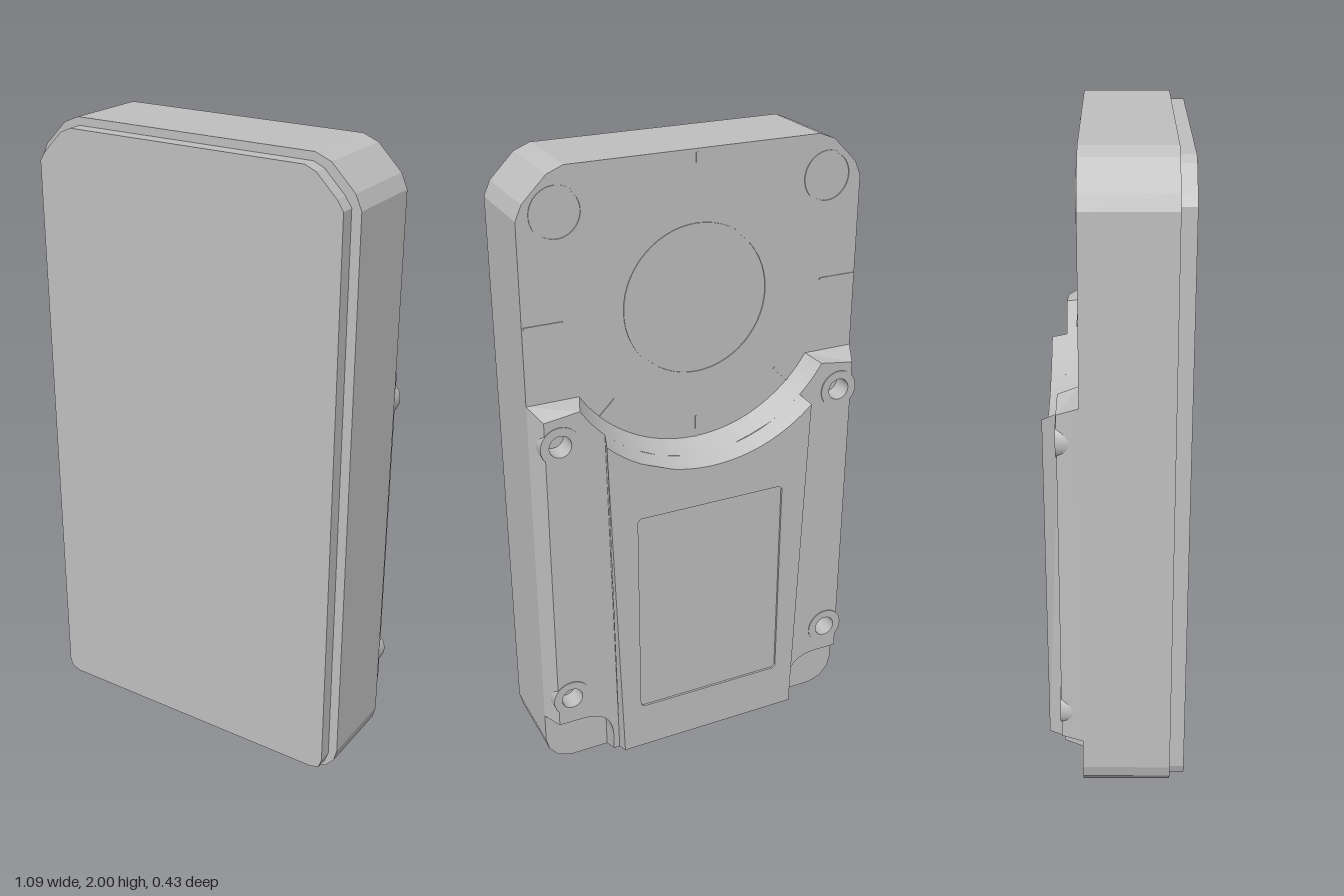
import * as THREE from 'three';

const grey = new THREE.MeshStandardMaterial({ color: 0xbfbfbf });
grey.name = 'light grey';

const CY = 1.55; // height of the dial on the back
const BACK = -0.1; // z of the plain back face

// closed shape from its right half (bottom to top), mirrored to the left
function mirrored(half) {
  const left = half.map(([x, y]) => [-x, y]).reverse();
  return new THREE.Shape([...half, ...left].map(([x, y]) => new THREE.Vector2(x, y)));
}

function circle(x, y, r) {
  return new THREE.Path().absarc(x, y, r, 0, Math.PI * 2, false);
}

// slab of a shape between two depths
function slab(shape, zBack, zFront) {
  const g = new THREE.ExtrudeGeometry(shape, { depth: zFront - zBack, bevelEnabled: false, curveSegments: 28 });
  return g.translate(0, 0, zBack);
}

// slope the walls of the raised back: dial cutout, top, bottom and outer sides
function taper(g) {
  const p = g.attributes.position;
  for (let i = 0; i < p.count; i++) {
    let x = p.getX(i), y = p.getY(i);
    const t = (BACK - p.getZ(i)) / 0.115;
    const r = Math.hypot(x, y - CY);
    if (r < 0.452) {
      const k = (0.45 + 0.05 * t) / r;
      x *= k;
      y = CY + (y - CY) * k;
    } else if (y > 1.3) y -= 0.055 * t;
    if (y < 0.005) y = 0.05 * t;
    if (Math.abs(x) > 0.54) x -= Math.sign(x) * 0.05 * t;
    p.setXY(i, x, y);
  }
  g.computeVertexNormals();
  return g;
}

function ringShape(x, y, outer, inner) {
  const s = new THREE.Shape().absarc(x, y, outer, 0, Math.PI * 2, false);
  s.holes.push(circle(x, y, inner));
  return s;
}

export function createModel() {
  const model = new THREE.Group();
  const add = (name, geometry) => {
    const m = new THREE.Mesh(geometry, grey);
    m.name = name;
    model.add(m);
    return m;
  };

  // main case and front panel
  add('case', slab(mirrored([[0.46, 0], [0.505, 0.015], [0.535, 0.05], [0.545, 0.09],
    [0.545, 1.86], [0.525, 1.905], [0.45, 1.98], [0.4, 2]]), BACK, 0.17));
  add('frontPanel', slab(mirrored([[0.475, 0.03], [0.505, 0.04], [0.515, 0.07],
    [0.515, 1.865], [0.495, 1.895], [0.43, 1.96], [0.395, 1.975]]), 0.17, 0.215));

  // lower raised back, with bottom corner notches and screw holes
  const a = Math.asin(0.24 / 0.45), ax = 0.45 * Math.cos(a);
  const screws = [];
  for (const x of [-0.47, 0.47]) for (const y of [0.285, 1.195]) screws.push([x, y]);
  const rails = new THREE.Shape();
  rails.moveTo(-0.33, 0);
  rails.lineTo(0.33, 0);
  rails.lineTo(0.33, 0.08);
  rails.quadraticCurveTo(0.33, 0.19, 0.44, 0.19);
  rails.lineTo(0.545, 0.19);
  rails.lineTo(0.545, 1.31);
  rails.lineTo(ax, 1.31);
  rails.absarc(0, CY, 0.45, -a, -Math.PI + a, true);
  rails.lineTo(-0.545, 1.31);
  rails.lineTo(-0.545, 0.19);
  rails.lineTo(-0.44, 0.19);
  rails.quadraticCurveTo(-0.33, 0.19, -0.33, 0.08);
  rails.closePath();
  for (const [x, y] of screws) rails.holes.push(circle(x, y, 0.035));
  add('backRails', taper(slab(rails, -0.165, BACK)));

  // screw bosses
  for (const [x, y] of screws) add('screwBoss', slab(ringShape(x, y, 0.062, 0.035), -0.168, BACK));

  // central raised cover with a shallow panel recess
  const b = Math.acos(0.31 / 0.45);
  const cover = new THREE.Shape();
  cover.moveTo(-0.31, 0);
  cover.lineTo(0.31, 0);
  cover.absarc(0, CY, 0.45, -b, -Math.PI + b, true);
  cover.closePath();
  cover.holes.push(new THREE.Path([[-0.25, 0.22], [-0.25, 0.91], [-0.24, 0.92], [0.24, 0.92],
    [0.25, 0.91], [0.25, 0.22], [0.24, 0.21], [-0.24, 0.21]].map(([x, y]) => new THREE.Vector2(x, y))));
  add('backCover', taper(slab(cover, -0.215, -0.165)));
  add('recessPanel', new THREE.BoxGeometry(0.51, 0.72, 0.043).translate(0, 0.565, -0.1865));

  // fine dial ring, corner rings and radial marks on the back
  add('dialRing', slab(ringShape(0, CY, 0.235, 0.229), BACK - 0.003, BACK));
  for (const x of [-0.43, 0.43]) {
    add('cornerRing', slab(ringShape(x, 1.87, 0.078, 0.073), BACK - 0.003, BACK));
  }
  for (const [deg, from, to] of [[0, 0.42, 0.54], [180, 0.42, 0.54], [90, 0.41, 0.44],
    [-90, 0.38, 0.45], [-45, 0.38, 0.45], [-135, 0.38, 0.45]]) {
    const mark = add('dialMark', new THREE.BoxGeometry(to - from, 0.007, 0.004).translate((from + to) / 2, 0, 0));
    mark.rotation.z = THREE.MathUtils.degToRad(deg);
    mark.position.set(0, CY, BACK - 0.001);
  }
  return model;
}
